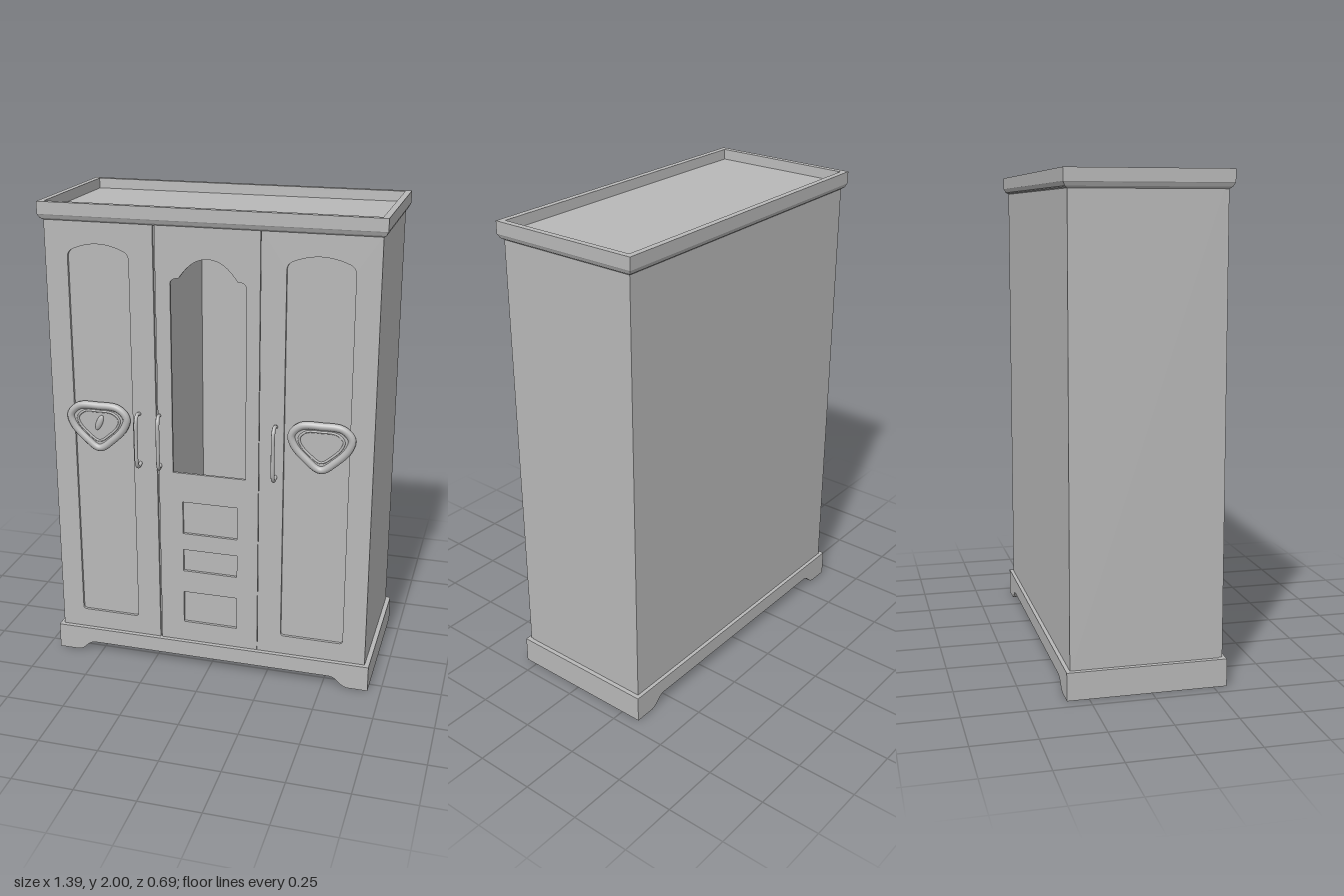
import * as THREE from 'three';

const X = 0.677, BACK = -0.322, FRONT = 0.29, CORE = 0.278;

export function createModel() {
  const group = new THREE.Group();
  const grey = new THREE.MeshStandardMaterial({ color: 0xb8b8b8 });
  grey.name = 'plain grey';

  const add = (name, geometry) => {
    const mesh = new THREE.Mesh(geometry, grey);
    mesh.name = name;
    group.add(mesh);
    return mesh;
  };
  // box given by its limits on each axis
  const box = (name, x0, x1, y0, y1, z0, z1) =>
    add(name, new THREE.BoxGeometry(x1 - x0, y1 - y0, z1 - z0))
      .position.set((x0 + x1) / 2, (y0 + y1) / 2, (z0 + z1) / 2);
  const plate = (name, shape, depth, z) =>
    add(name, new THREE.ExtrudeGeometry(shape, { depth, bevelEnabled: false, curveSegments: 12 }))
      .position.z = z;
  const rect = (x0, x1, y0, y1, S = THREE.Path) => new S()
    .moveTo(x0, y0).lineTo(x1, y0).lineTo(x1, y1).lineTo(x0, y1).lineTo(x0, y0);

  // Hollow carcass: side blocks, back, top and floor around the middle compartment
  box('leftCabinet', 0.2, X, 0.1, 1.95, BACK, CORE);
  box('rightCabinet', -X, -0.2, 0.1, 1.95, BACK, CORE);
  box('backPanel', -0.2, 0.2, 0.1, 1.95, BACK, -0.3);
  box('compartmentCeiling', -0.2, 0.2, 1.88, 1.95, -0.3, CORE);
  box('compartmentFloor', -0.2, 0.2, 0.1, 0.14, -0.3, CORE);
  box('drawerBacking', -0.2, 0.2, 0.14, 0.885, 0.255, CORE);

  // Side doors with sunken arched panels
  const archedPanel = (x0, x1) => {
    const m = (x0 + x1) / 2, p = new THREE.Path();
    p.moveTo(x0 + 0.015, 0.2).lineTo(x1 - 0.015, 0.2);
    p.quadraticCurveTo(x1, 0.2, x1, 0.215).lineTo(x1, 1.78);
    p.quadraticCurveTo(x1, 1.808, x1 - 0.03, 1.818);
    p.quadraticCurveTo(m, 1.86, x0 + 0.03, 1.818);
    p.quadraticCurveTo(x0, 1.808, x0, 1.78).lineTo(x0, 0.215);
    p.quadraticCurveTo(x0, 0.2, x0 + 0.015, 0.2);
    return p;
  };
  const rightDoor = rect(-X, -0.224, 0.115, 1.93, THREE.Shape);
  rightDoor.holes.push(archedPanel(-0.582, -0.325));
  plate('rightDoor', rightDoor, FRONT - CORE, CORE);
  const leftDoor = rect(0.212, X, 0.115, 1.93, THREE.Shape);
  leftDoor.holes.push(archedPanel(0.313, 0.58));
  plate('leftDoor', leftDoor, FRONT - CORE, CORE);

  // Middle door with a shaped opening and three sunken drawer fronts
  const middle = rect(-0.216, 0.21, 0.115, 1.93, THREE.Shape);
  const opening = new THREE.Path();
  opening.moveTo(-0.155, 0.9).lineTo(0.155, 0.9).lineTo(0.155, 1.7);
  opening.quadraticCurveTo(0.152, 1.722, 0.12, 1.722);
  opening.bezierCurveTo(0.09, 1.765, 0.055, 1.803, 0, 1.803);
  opening.bezierCurveTo(-0.055, 1.803, -0.09, 1.765, -0.12, 1.722);
  opening.quadraticCurveTo(-0.152, 1.722, -0.155, 1.7).lineTo(-0.155, 0.9);
  middle.holes.push(opening);
  for (const [y0, y1] of [[0.205, 0.35], [0.45, 0.55], [0.625, 0.77]])
    middle.holes.push(rect(-0.115, 0.12, y0, y1));
  plate('middleDoor', middle, FRONT - CORE, CORE);

  // Rectangular moulding swept around the body; profile is [offset, y]
  const moulding = (name, profile) => {
    const corners = ([o, y]) => [
      [X + o, y, FRONT + o], [X + o, y, BACK - o], [-X - o, y, BACK - o], [-X - o, y, FRONT + o]];
    const pos = [];
    for (let k = 0; k < profile.length - 1; k++) {
      const a = corners(profile[k]), b = corners(profile[k + 1]);
      for (let i = 0; i < 4; i++) {
        const j = (i + 1) % 4;
        pos.push(...a[i], ...a[j], ...b[j], ...a[i], ...b[j], ...b[i]);
      }
    }
    const g = new THREE.BufferGeometry();
    g.setAttribute('position', new THREE.Float32BufferAttribute(pos, 3));
    g.computeVertexNormals();
    add(name, g);
  };
  moulding('cornice', [[-0.002, 1.925], [0.005, 1.93], [0.011, 1.934], [0.017, 1.947],
    [0.019, 1.95], [0.019, 2], [-0.006, 2], [-0.009, 1.95]]);
  box('topBoard', -X + 0.005, X - 0.005, 1.94, 1.958, BACK + 0.005, FRONT - 0.005);

  // Plinth: footed boards front and back, plain boards at the sides
  const B = 0.696, footed = new THREE.Shape();
  footed.moveTo(-B, 0).lineTo(-0.61, 0);
  footed.bezierCurveTo(-0.57, 0.005, -0.57, 0.04, -0.53, 0.045).lineTo(0.53, 0.045);
  footed.bezierCurveTo(0.57, 0.04, 0.57, 0.005, 0.61, 0);
  footed.lineTo(B, 0).lineTo(B, 0.112).lineTo(-B, 0.112);
  plate('frontPlinth', footed, 0.03, 0.274);
  plate('backPlinth', footed, 0.03, -0.338);
  for (const s of [-1, 1])
    box(s > 0 ? 'leftPlinth' : 'rightPlinth',
      s > 0 ? 0.666 : -B, s > 0 ? B : -0.666, 0, 0.112, -0.308, 0.274);
  box('bottomBoard', -0.666, 0.666, 0.05, 0.11, -0.308, 0.274);

  // Bowed vertical handles
  const handle = (name, x, lean) => {
    const pts = [[0.93, 0.28], [0.922, 0.318], [0.94, 0.336], [1.035, 0.34],
      [1.13, 0.336], [1.15, 0.318], [1.142, 0.28]]
      .map(([y, z]) => new THREE.Vector3((z - 0.31) * lean, y, z));
    const g = new THREE.TubeGeometry(new THREE.CatmullRomCurve3(pts), 32, 0.008, 8);
    add(name, g).position.x = x;
  };
  handle('rightDoorHandle', -0.296, 0);
  handle('middleDoorRightHandle', -0.207, 0.15);
  handle('middleDoorLeftHandle', 0.28, 0);

  // Heart-like ornaments: rounded rim around a shallow plate
  const outline = [[0, -0.095], [0.06, -0.055], [0.11, 0], [0.122, 0.045], [0.085, 0.084],
    [0, 0.09], [-0.085, 0.084], [-0.122, 0.045], [-0.11, 0], [-0.06, -0.055]];
  const ornament = (side, x) => {
    const curve = new THREE.CatmullRomCurve3(
      outline.map(([u, v]) => new THREE.Vector3(u, v, 0)), true);
    const rim = add(side + 'OrnamentRim', new THREE.TubeGeometry(curve, 64, 0.016, 10, true));
    rim.position.set(x, 1.075, 0.295);
    const fill = new THREE.Shape(curve.getPoints(48).map(p => new THREE.Vector2(p.x, p.y)));
    plate(side + 'OrnamentPlate', fill, 0.02, 0.276);
    group.children.at(-1).position.set(x, 1.075, 0.276);
    const inner = add(side + 'OrnamentBead', new THREE.TubeGeometry(curve, 64, 0.007, 8, true));
    inner.scale.set(0.74, 0.7, 1);
    inner.position.set(x, 1.078, 0.296);
  };
  ornament('right', -0.473);
  ornament('left', 0.467);

  // Small teardrop on the right ornament
  const drop = add('teardrop', new THREE.SphereGeometry(1, 16, 10));
  drop.scale.set(0.014, 0.036, 0.01);
  drop.rotation.z = -0.4;
  drop.position.set(-0.47, 1.092, 0.297);

  return group;
}
